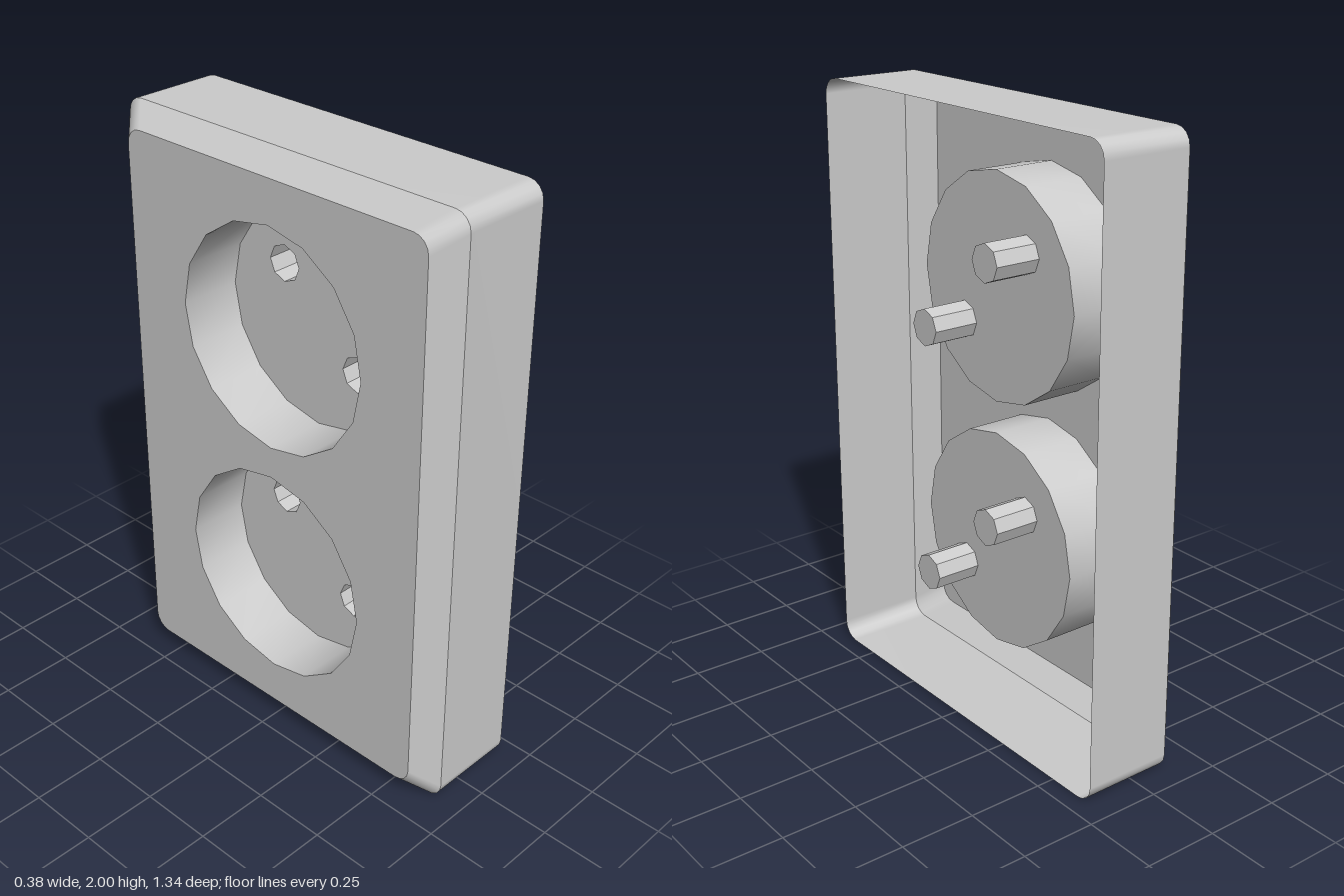
import * as THREE from 'three';

const smooth = new THREE.MeshStandardMaterial({ color: 0xcccccc, side: THREE.DoubleSide });
const faceted = new THREE.MeshStandardMaterial({ color: 0xcccccc, side: THREE.DoubleSide, flatShading: true });

// Outlines are drawn in the (z, y) plane, counter-clockwise.
function circle(z, y, r, n) {
  return Array.from({ length: n }, (_, i) => {
    const a = (i / n) * Math.PI * 2;
    return new THREE.Vector2(z + r * Math.cos(a), y + r * Math.sin(a));
  });
}

function roundedRect(halfWidth, bottom, top, r, steps = 4) {
  const pts = [];
  const centres = [
    [halfWidth - r, top - r], [r - halfWidth, top - r],
    [r - halfWidth, bottom + r], [halfWidth - r, bottom + r],
  ];
  centres.forEach(([z, y], corner) => {
    for (let i = 0; i <= steps; i++) {
      const a = (corner + i / steps) * Math.PI / 2;
      pts.push(new THREE.Vector2(z + r * Math.cos(a), y + r * Math.sin(a)));
    }
  });
  return pts;
}

// Open band joining outline a at x = xa to outline b at x = xb
function band(name, a, xa, b, xb, material = smooth) {
  const n = a.length, pos = [], index = [];
  for (const [pts, x] of [[a, xa], [b, xb]]) for (const p of pts) pos.push(x, p.y, p.x);
  for (let i = 0; i < n; i++) {
    const j = (i + 1) % n;
    index.push(i, n + i, j, j, n + i, n + j);
  }
  const geo = new THREE.BufferGeometry();
  geo.setAttribute('position', new THREE.Float32BufferAttribute(pos, 3));
  geo.setIndex(index);
  geo.computeVertexNormals();
  const mesh = new THREE.Mesh(geo, material);
  mesh.name = name;
  return mesh;
}

// Flat sheet at a given x, with optional holes
function sheet(name, outline, x, holes = []) {
  const shape = new THREE.Shape(outline);
  for (const h of holes) shape.holes.push(new THREE.Path(h));
  const geo = new THREE.ShapeGeometry(shape).rotateY(-Math.PI / 2).translate(x, 0, 0);
  const mesh = new THREE.Mesh(geo, smooth);
  mesh.name = name;
  return mesh;
}

export function createModel() {
  const model = new THREE.Group();
  model.name = 'doubleSocket';

  const faceX = -0.19, bevelX = -0.115, rimX = 0.19;
  const wellX = 0.022, pinX = 0.178;
  const socketYs = [1.424, 0.582];

  // Hollow cover: side wall, bevel and face plate
  const outer = roundedRect(0.672, 0, 2, 0.055);
  const inner = roundedRect(0.597, 0.064, 1.936, 0.055);
  const wells = socketYs.map((y) => circle(0, y, 0.368, 16));
  model.add(
    band('sideWall', outer, bevelX, outer, rimX),
    band('bevel', inner, faceX, outer, bevelX),
    sheet('facePlate', inner, faceX, wells),
  );

  // Round wells, each with two blind pin holes
  socketYs.forEach((y, i) => {
    const socket = new THREE.Group();
    socket.name = i === 0 ? 'upperSocket' : 'lowerSocket';
    const pins = [circle(-0.145, y + 0.136, 0.061, 8), circle(0.163, y - 0.136, 0.061, 8)];
    socket.add(
      band('wellWall', wells[i], faceX, wells[i], wellX),
      sheet('wellFloor', wells[i], wellX, pins),
    );
    for (const pin of pins) {
      socket.add(
        band('pinSleeve', pin, wellX, pin, pinX, faceted),
        sheet('pinSleeveEnd', pin, pinX),
      );
    }
    model.add(socket);
  });

  return model;
}
